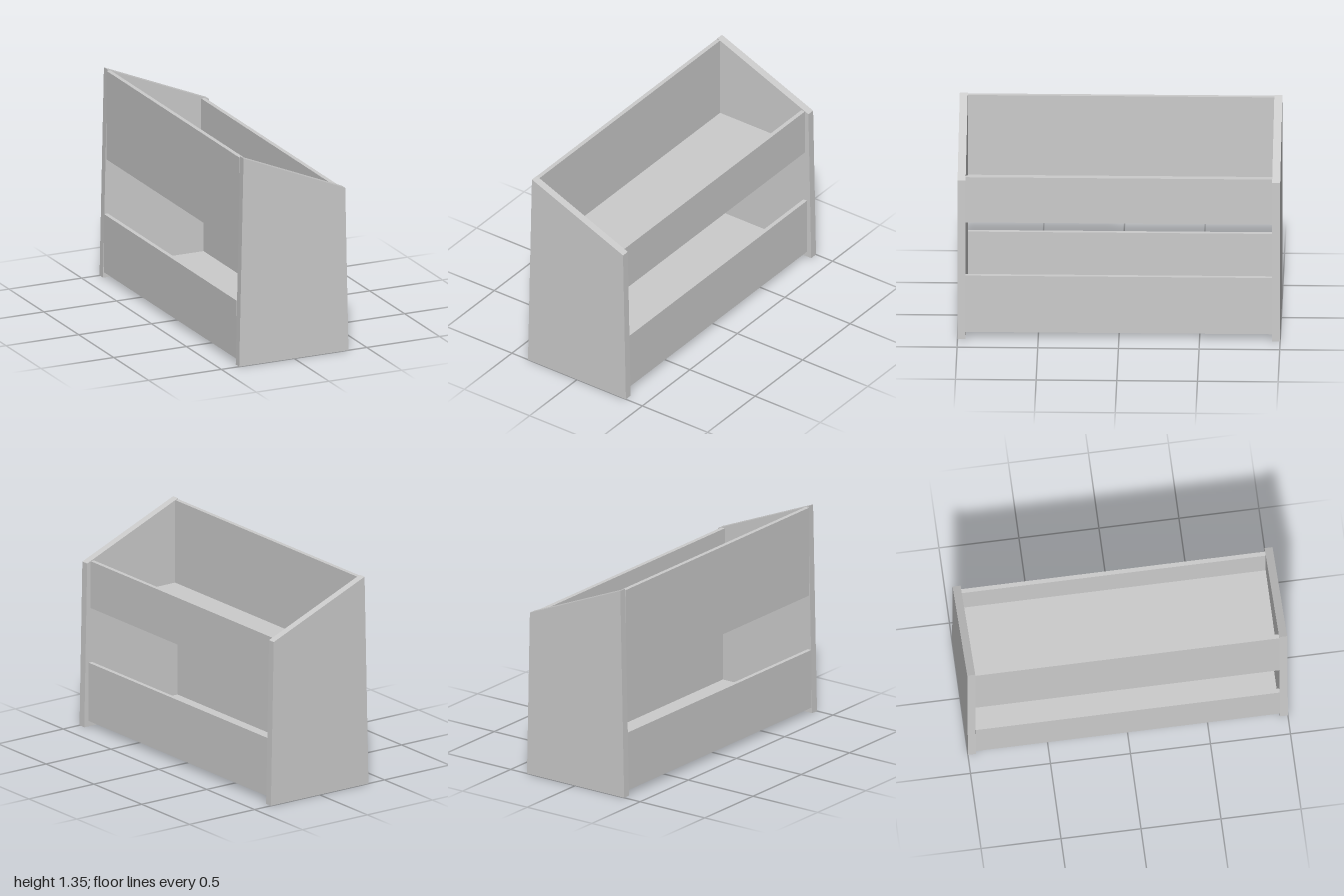
import * as THREE from 'three';

const material = new THREE.MeshStandardMaterial({ color: 0xcccccc, flatShading: true });
const PANEL = 0.05;           // end panel thickness
const SPAN = 2 - 2 * PANEL;   // length between the end panels

// Board running between the end panels, given by its cross-section limits
function board(name, x0, x1, y0, y1) {
  const mesh = new THREE.Mesh(new THREE.BoxGeometry(x1 - x0, y1 - y0, SPAN), material);
  mesh.position.set((x0 + x1) / 2, (y0 + y1) / 2, 0);
  mesh.name = name;
  return mesh;
}

export function createModel() {
  const group = new THREE.Group();
  group.name = 'twoTierBin';

  // Tapered end panels with sloping tops
  const outline = new THREE.Shape([
    [-0.377, 0], [0.374, 0], [0.352, 1.063], [-0.347, 1.354],
  ].map(([x, y]) => new THREE.Vector2(x, y)));
  const panelGeometry = new THREE.ExtrudeGeometry(outline, { depth: PANEL, bevelEnabled: false });
  for (const [name, z] of [['frontEndPanel', 1 - PANEL], ['backEndPanel', -1]]) {
    const panel = new THREE.Mesh(panelGeometry, material);
    panel.position.z = z;
    panel.name = name;
    group.add(panel);
  }

  // Lower tray: shelf and two equal side boards
  group.add(
    board('lowerShelf', -0.371, 0.341, 0.035, 0.075),
    board('lowerLeftBoard', 0.314, 0.341, 0.075, 0.415),
    board('lowerRightBoard', -0.371, -0.344, 0.075, 0.415),
  );

  // Upper tray: shelf, low board on one side and tall board on the other
  group.add(
    board('upperShelf', -0.352, 0.325, 0.768, 0.808),
    board('upperLeftBoard', 0.298, 0.325, 0.808, 1.073),
    board('upperRightBoard', -0.352, -0.325, 0.808, 1.346),
  );

  return group;
}
